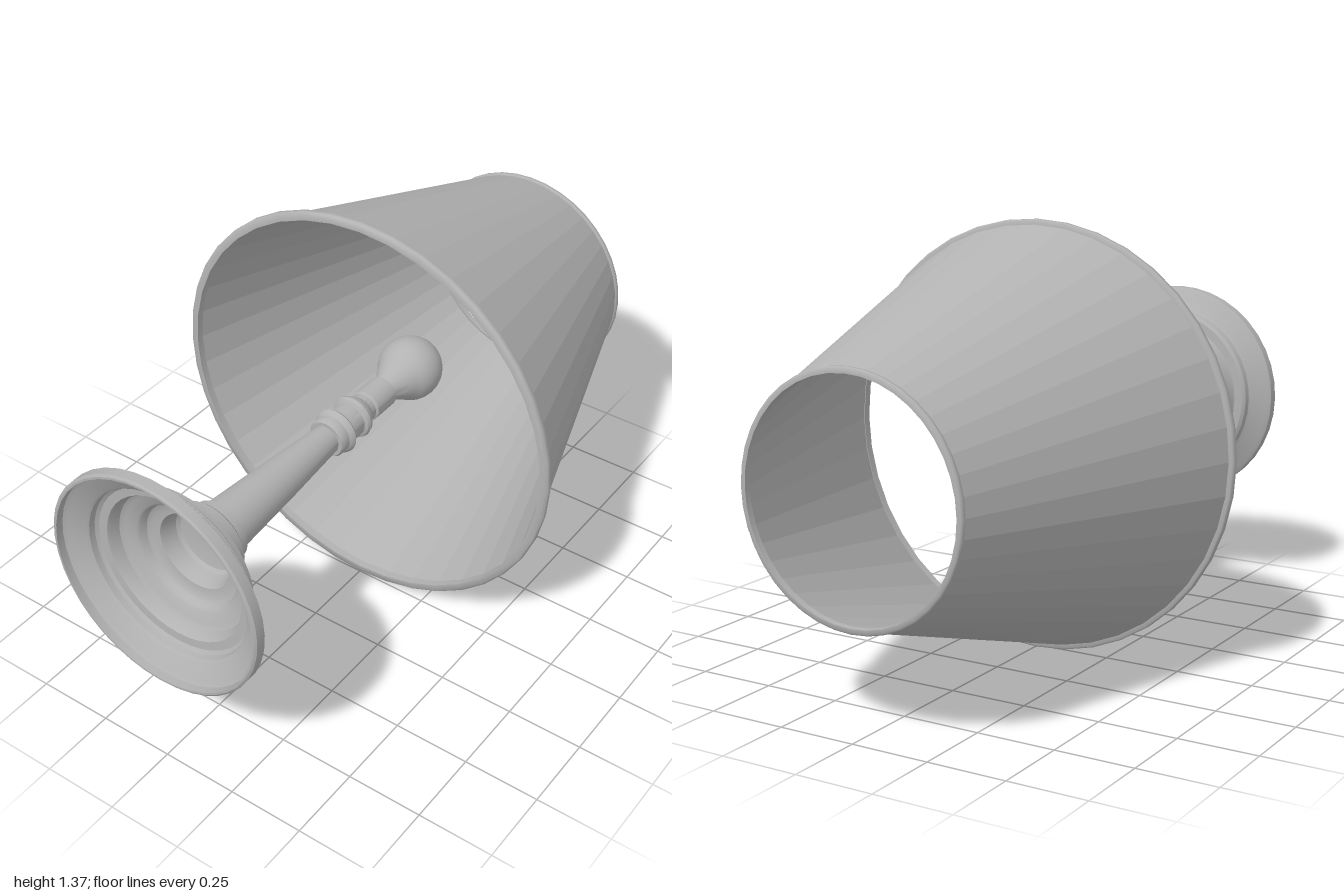
import * as THREE from 'three';
import { toCreasedNormals } from 'three/addons/utils/BufferGeometryUtils.js';

const AXIS_HEIGHT = 0.686;
const SEGMENTS = 40;

export function createModel() {
  const grey = new THREE.MeshStandardMaterial({ color: 0xb2b2b2 });
  grey.name = 'plain grey';

  const lamp = new THREE.Group();
  lamp.name = 'tableLampOnItsSide';
  lamp.position.y = AXIS_HEIGHT;

  // Turns a profile of [position along x, radius] around the lamp's long axis
  function turned(name, profile, crease = 0.6) {
    const points = profile.map(([x, r]) => new THREE.Vector2(r, x));
    let geometry = new THREE.LatheGeometry(points, SEGMENTS);
    geometry.rotateZ(-Math.PI / 2);
    geometry = toCreasedNormals(geometry, crease);
    const mesh = new THREE.Mesh(geometry, grey);
    mesh.name = name;
    lamp.add(mesh);
  }

  // Stepped foot: the outside runs from the rim to the stem
  const footOutside = [
    [-1, 0.365], [-0.995, 0.372], [-0.962, 0.372], [-0.953, 0.36], [-0.932, 0.31],
    [-0.925, 0.303], [-0.905, 0.3], [-0.897, 0.29], [-0.895, 0.262], [-0.888, 0.257],
    [-0.855, 0.25], [-0.845, 0.235], [-0.838, 0.2], [-0.83, 0.192], [-0.81, 0.185],
    [-0.802, 0.172], [-0.8, 0.143], [-0.79, 0.138], [-0.745, 0.13], [-0.735, 0.12],
    [-0.732, 0.104], [-0.695, 0.1], [-0.685, 0.085],
  ];
  // The hollow underside follows the same steps, one wall thickness in
  const footInside = footOutside.slice(1, -2)
    .map(([x, r]) => [Math.max(-1, x - 0.012), r - 0.014]).reverse();
  turned('foot', [[-0.735, 0], ...footInside, ...footOutside, [-0.685, 0]]);

  // Tapered stem with its two collars
  turned('stem', [
    [-0.69, 0.086], [-0.4, 0.066], [-0.18, 0.048], [-0.18, 0.06], [-0.172, 0.065],
    [-0.145, 0.065], [-0.138, 0.073], [-0.127, 0.077], [-0.118, 0.07], [-0.112, 0.06],
    [-0.055, 0.058], [-0.05, 0.068], [-0.04, 0.072], [-0.026, 0.068], [-0.01, 0.055],
    [0.005, 0.045], [0.03, 0.045],
  ]);

  // Bulb socket
  turned('socket', [
    [0.025, 0], [0.025, 0.045], [0.03, 0.052], [0.125, 0.052], [0.13, 0.045], [0.13, 0],
  ]);

  // Bulb: narrow neck flowing into a ball
  const bulb = [[0.12, 0.04], [0.14, 0.044], [0.165, 0.054], [0.185, 0.066]];
  const ballSteps = 12;
  for (let i = 0; i <= ballSteps; i++) {
    const angle = THREE.MathUtils.lerp(2.35, 0, i / ballSteps);
    bulb.push([0.28 + 0.106 * Math.cos(angle), 0.106 * Math.sin(angle)]);
  }
  turned('bulb', bulb);

  // Faceted open shade with an outer and inner wall
  turned('shade', [
    [0.985, 0.358], [0.015, 0.665], [0.015, 0.672], [0.985, 0.365], [0.985, 0.358],
  ], 0.02);

  // Raised bands round both openings
  function rim(name, x0, x1, inner, outer) {
    const bevel = 0.005;
    turned(name, [
      [x1, inner], [x0, inner], [x0, outer - bevel], [x0 + bevel, outer],
      [x1 - bevel, outer], [x1, outer - bevel], [x1, inner],
    ], 0.9);
  }
  rim('wideRim', -0.002, 0.024, 0.66, 0.686);
  rim('narrowRim', 0.979, 1, 0.353, 0.371);

  const model = new THREE.Group();
  model.name = 'lamp';
  model.add(lamp);
  return model;
}
